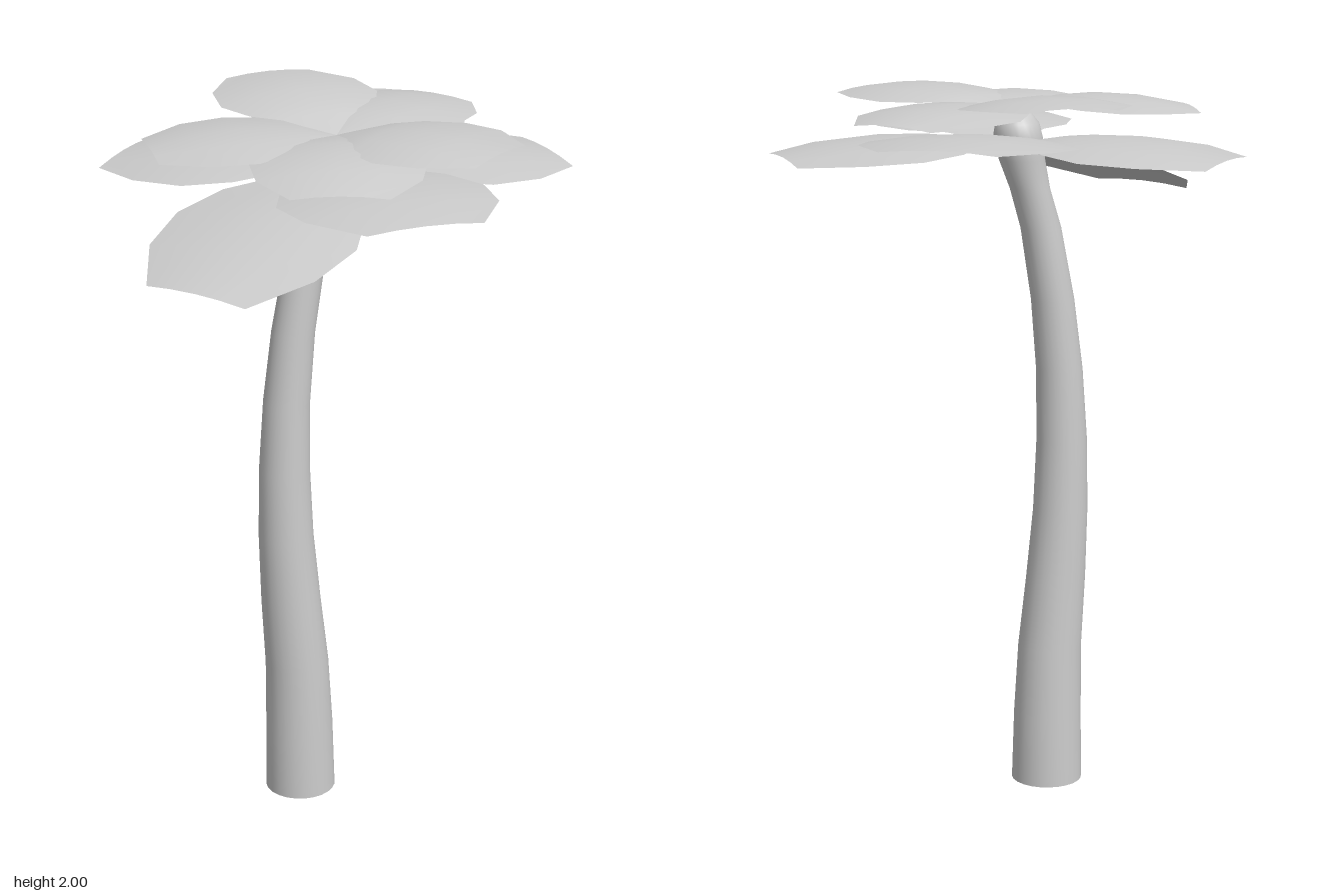
import * as THREE from 'three';
import { mergeVertices } from 'three/addons/utils/BufferGeometryUtils.js';

const material = new THREE.MeshStandardMaterial({ color: 0xcccccc, side: THREE.DoubleSide });

// Smooth normals without a seam.
function smooth(geometry) {
  geometry.deleteAttribute('uv');
  geometry.deleteAttribute('normal');
  const merged = mergeVertices(geometry, 1e-5);
  merged.computeVertexNormals();
  return merged;
}

// Tapered trunk, open below, turned from a profile and bent sideways.
function makeTrunk() {
  // centre x, height, radius
  const stations = [
    [-0.14, 0, 0.1], [-0.142, 0.2, 0.096], [-0.148, 0.4, 0.09], [-0.165, 0.6, 0.084],
    [-0.178, 0.8, 0.077], [-0.181, 1, 0.071], [-0.173, 1.2, 0.065], [-0.152, 1.4, 0.06],
    [-0.117, 1.6, 0.056], [-0.085, 1.71, 0.055], [-0.062, 1.79, 0.063], [-0.05, 1.85, 0.068],
    [-0.048, 1.89, 0.06], [-0.047, 1.92, 0.037], [-0.047, 1.93, 0],
  ];
  const profile = stations.map(([, y, r]) => new THREE.Vector2(r, y));
  const geometry = new THREE.LatheGeometry(profile, 24);
  const p = geometry.attributes.position;
  for (let i = 0; i < p.count; i++) {
    p.setX(i, p.getX(i) + stations[i % stations.length][0]);
  }
  const mesh = new THREE.Mesh(smooth(geometry), material);
  mesh.name = 'trunk';
  mesh.position.z = -0.01;
  return mesh;
}

// Blunt leaf along +z, arched lengthwise and cambered across.
function makeLeaf(length, rise, arch, camber) {
  // fraction of length, half width as fraction of length
  const outline = [
    [0, 0.015], [0.2, 0.225], [0.32, 0.365], [0.52, 0.455], [0.76, 0.418], [1, 0.248],
  ];
  const columns = 4;
  const geometry = new THREE.PlaneGeometry(1, 1, columns, outline.length - 1);
  const p = geometry.attributes.position;
  for (let i = 0; i < p.count; i++) {
    const [t, w] = outline[outline.length - 1 - Math.floor(i / (columns + 1))];
    const s = ((i % (columns + 1)) / columns) * 2 - 1;
    const y = rise * t + arch * 4 * t * (1 - t) - camber * (s * w / 0.455) ** 2;
    // mirrored across so that the upper side is the front face
    p.setXYZ(i, -s * w * length, y, t * length);
  }
  // PlaneGeometry rows run from tip to base here
  return smooth(geometry);
}

export function createModel() {
  const model = new THREE.Group();
  model.name = 'palmTree';
  model.add(makeTrunk());

  // layer name, base height, length, then [heading in degrees, rise at the tip]
  const layers = [
    ['upperLeaf', 1.93, 0.503, [[180, 0.055], [-98, 0], [125, 0.003], [-21.5, -0.015], [33.7, 0.03]]],
    ['lowerLeaf', 1.835, 0.627, [[-133.7, -0.01], [144.8, 0.06], [90, -0.01], [-2, 0.03], [-57, -0.17]]],
  ];
  for (const [name, height, length, leaves] of layers) {
    const crown = new THREE.Group();
    crown.name = name + 'Crown';
    crown.position.set(-0.02, height, -0.02);
    leaves.forEach(([heading, rise], i) => {
      const leaf = new THREE.Mesh(makeLeaf(length, rise, 0.035, 0.03), material);
      leaf.name = name + (i + 1);
      leaf.rotation.y = THREE.MathUtils.degToRad(heading);
      crown.add(leaf);
    });
    model.add(crown);
  }
  return model;
}
